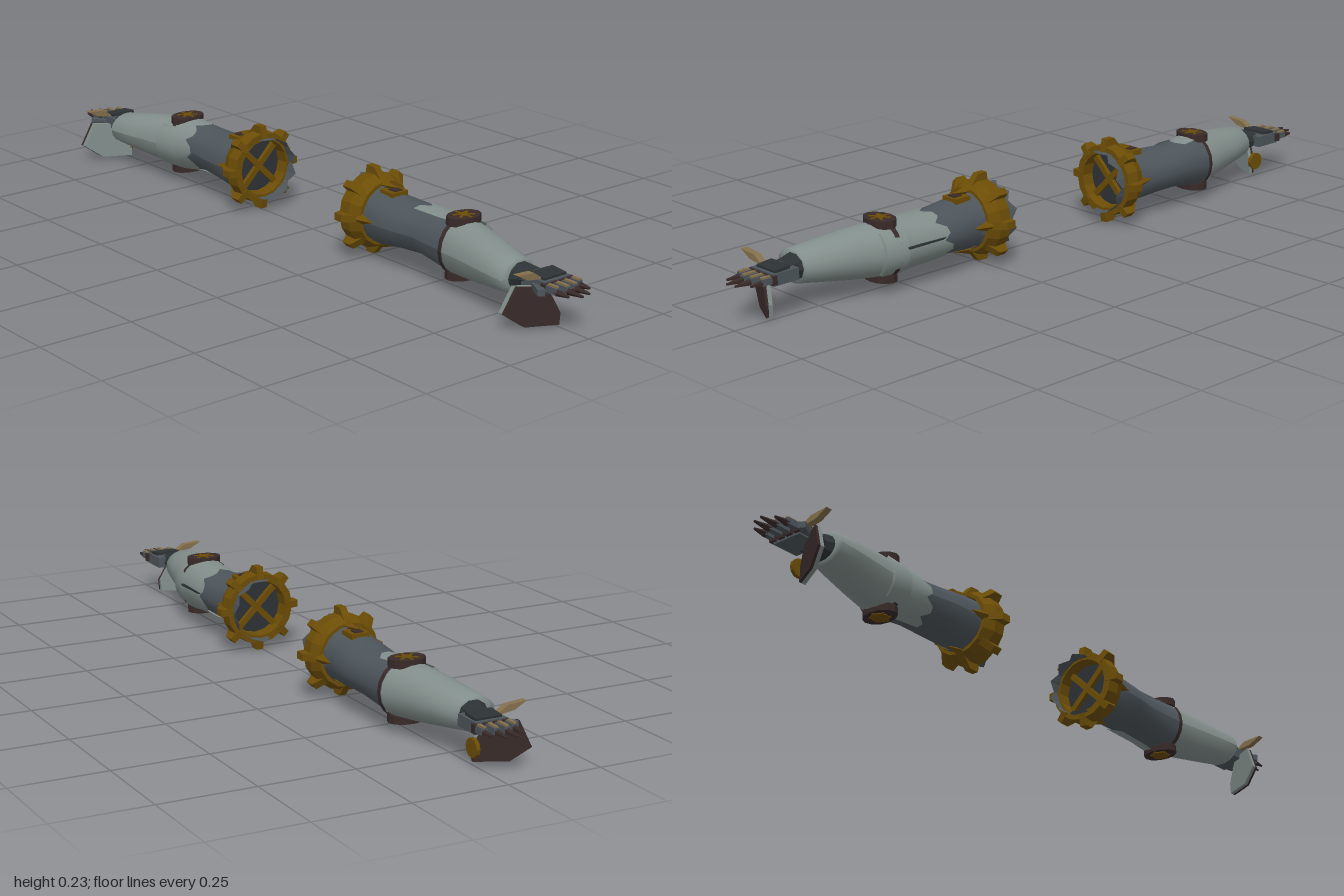
import * as THREE from 'three';

const mat = (name, color) => {
  const m = new THREE.MeshStandardMaterial({ color, side: THREE.DoubleSide });
  m.name = name;
  return m;
};

export function createModel() {
  const M = {
    light: mat('pale grey armour', 0x828e8b),
    slate: mat('slate armour', 0x4d555b),
    gold: mat('dark gold', 0x6c4d06),
    brown: mat('dark brown', 0x382a29),
    dark: mat('dark joint', 0x2d3235),
    tan: mat('tan blade', 0x84704c),
  };
  const model = new THREE.Group();
  model.name = 'armouredArms';
  const arms = [1, -1].map((side) => {
    const g = new THREE.Group();
    g.name = side > 0 ? 'leftArm' : 'rightArm';
    model.add(g);
    return g;
  });

  // Adds a part to the left arm (0) and its mirror image to the right arm (1)
  const add = (name, geo, material, faceted = true, targets = [0, 1]) => {
    let left = geo;
    if (faceted) {
      left = geo.index ? geo.toNonIndexed() : geo;
      left.computeVertexNormals();
    }
    const right = left.clone().scale(-1, 1, 1);
    if (!right.index) right.setIndex([...Array(right.attributes.position.count).keys()]);
    const ix = right.index;
    for (let i = 0; i < ix.count; i += 3) {
      const a = ix.getX(i);
      ix.setX(i, ix.getX(i + 1));
      ix.setX(i + 1, a);
    }
    right.computeVertexNormals();
    targets.forEach((t) => {
      const mesh = new THREE.Mesh([left, right][t], material);
      mesh.name = name;
      arms[t].add(mesh);
    });
  };

  // Tube or arc along x through sections [x, y, z, ry, rz]; edge() shifts the first ring
  const loft = (sections, sides = 18, start = 0, arc = Math.PI * 2, edge = () => 0) => {
    const n = sections.length;
    const geo = new THREE.CylinderGeometry(1, 1, 1, sides, n - 1, true);
    const p = geo.attributes.position;
    for (let k = 0; k < p.count; k++) {
      const row = Math.floor(k / (sides + 1)), i = k % (sides + 1);
      const a = start + (i / sides) * arc;
      const [x, y, z, ry, rz] = sections[n - 1 - row];
      const shift = row === n - 1 ? edge(a, i) : 0;
      p.setXYZ(k, x + shift, y - Math.sin(a) * ry, z + Math.cos(a) * rz);
    }
    geo.computeVertexNormals();
    return geo;
  };
  const box = (w, h, d, x, y, z, rz = 0, ry = 0) =>
    new THREE.BoxGeometry(w, h, d).rotateZ(rz).rotateY(ry).translate(x, y, z);
  const disc = (r, h, x, y, z, sides = 12, stretch = 1) =>
    new THREE.CylinderGeometry(r, r, h, sides).scale(1, 1, stretch).translate(x, y, z);

  // Shoulder gear: flared ring, radial teeth and clasping claws
  const cy = 0.118, cz = -0.008;
  const ring = [[0.076, 0.215], [0.096, 0.215], [0.098, 0.25], [0.084, 0.28], [0.074, 0.28], [0.076, 0.215]]
    .map(([r, h]) => new THREE.Vector2(r, h));
  add('gearRing', new THREE.LatheGeometry(ring, 16).rotateZ(-Math.PI / 2).translate(0, cy, cz), M.gold);
  for (let i = 0; i < 8; i++) {
    const tooth = new THREE.Shape();
    [[0.212, 0.08], [0.218, 0.115], [0.246, 0.115], [0.272, 0.085]]
      .forEach(([x, y], k) => (k ? tooth.lineTo(x, y) : tooth.moveTo(x, y)));
    tooth.closePath();
    add('gearTooth', new THREE.ExtrudeGeometry(tooth, { depth: 0.019, bevelEnabled: false })
      .translate(0, 0, -0.0095).rotateX((i * Math.PI) / 4).translate(0, cy, cz), M.gold);
    if (i % 2 === 0) {
      add('gearClaw', new THREE.ConeGeometry(0.016, 0.05, 4).rotateZ(-Math.PI / 2)
        .translate(0.298, 0.077, 0).rotateX((i * Math.PI) / 4).translate(0, cy, cz), M.gold);
    }
  }
  // Dark socket with gold cross bars inside the gear, and gold boss on top of the shoulder
  add('shoulderSocket', new THREE.CylinderGeometry(0.072, 0.072, 0.01, 16).rotateZ(Math.PI / 2)
    .translate(0.252, cy, cz), M.dark);
  for (const turn of [Math.PI / 4, -Math.PI / 4]) {
    add('socketBar', new THREE.BoxGeometry(0.012, 0.146, 0.016).rotateX(turn).translate(0.242, cy, cz), M.gold);
  }
  add('shoulderBoss', box(0.05, 0.016, 0.05, 0.312, 0.18, -0.008), M.gold);
  add('shoulderBossInset', box(0.024, 0.004, 0.024, 0.318, 0.189, -0.008), M.brown);

  // Jagged shell behind the shoulder
  const shell = new THREE.CylinderGeometry(0.074, 0.084, 0.07, 12, 1, true, Math.PI * 0.42, Math.PI * 1.16)
    .rotateZ(-Math.PI / 2).translate(0.255, cy, cz);
  const sp = shell.attributes.position;
  for (let i = 13; i < 26; i++) sp.setX(i, i % 2 ? 0.2 : 0.18);
  add('shoulderShell', shell, M.slate);

  // Upper arm and forearm
  add('upperArm', loft([
    [0.25, 0.117, -0.005, 0.07, 0.07], [0.31, 0.113, -0.003, 0.069, 0.073],
    [0.38, 0.114, -0.01, 0.061, 0.077], [0.45, 0.114, -0.015, 0.059, 0.071],
    [0.565, 0.109, -0.01, 0.072, 0.072],
  ]), M.slate, false);
  add('elbowRing', loft([
    [0.556, 0.109, -0.01, 0.076, 0.076], [0.569, 0.109, -0.009, 0.075, 0.076],
  ]), M.brown, false);
  add('forearm', loft([
    [0.566, 0.109, -0.009, 0.071, 0.072], [0.65, 0.109, 0.006, 0.064, 0.067],
    [0.73, 0.108, 0.021, 0.053, 0.062], [0.8, 0.107, 0.034, 0.043, 0.055],
    [0.803, 0.107, 0.034, 0.03, 0.035],
  ]), M.light, false);

  // Pale half cuff with a ragged edge: behind the left elbow, in front of the right one
  [Math.PI * 1.08, -Math.PI * 0.08].forEach((middle, arm) => {
    const arc = Math.PI * 1.12, start = arm ? 0.455 : 0.4;
    const ragged = (a, i) => -0.02 * Math.sin(a) + (i % 3 ? 0 : 0.024);
    add('elbowCuff', loft([
      [start, 0.114, -0.013, 0.064, arm ? 0.075 : 0.078], [0.51, 0.111, -0.012, 0.068, 0.075],
      [0.554, 0.109, -0.01, 0.075, 0.076],
    ], 14, middle - arc / 2, arc, ragged), M.light, false, [arm]);
    add('elbowFlange', loft([
      [0.536, 0.109, -0.01, 0.072, 0.078], [0.6, 0.109, -0.004, 0.072, 0.08],
      [0.602, 0.109, -0.004, 0.06, 0.066],
    ], 10, (arm ? 0 : Math.PI) - 0.9, 1.8), M.light, false, [arm]);
  });
  // Dark seam along the back of the left cuff
  add('cuffSeam', box(0.12, 0.005, 0.006, 0.48, 0.12, -0.088, 0, 0.02), M.dark, true, [0]);

  // Oval elbow bosses above and below, with gold caps and spokes
  for (const s of [1, -1]) {
    const y = 0.109 + s * 0.069;
    add('elbowBoss', disc(0.035, 0.02, 0.565, y, -0.01, 12, 1.4), M.brown);
    add('elbowBossCap', disc(s > 0 ? 0.013 : 0.024, 0.025, 0.565, y, -0.01, 8), M.gold);
    for (let i = 0; i < 3; i++) {
      add('elbowBossSpoke', box(0.056, 0.023, 0.007, 0.565, y, -0.01, 0, (i * Math.PI) / 3), M.gold);
    }
  }

  // Wrist and palm
  add('wrist', loft([
    [0.795, 0.108, 0.03, 0.036, 0.042], [0.82, 0.11, 0.024, 0.03, 0.034], [0.845, 0.112, 0.018, 0.022, 0.036],
  ], 10), M.dark);
  add('palm', box(0.075, 0.03, 0.085, 0.868, 0.111, 0.012), M.slate);
  add('knucklePlate', box(0.045, 0.008, 0.07, 0.875, 0.13, 0.01, -0.1), M.dark);

  // Four jointed fingers, longest in the middle
  [0.97, 0.995, 1.0, 0.98].forEach((tip, i) => {
    const z = -0.028 + i * 0.026, len = (tip - 0.9) / 2;
    add('fingerKnuckle', box(0.014, 0.022, 0.019, 0.906, 0.112, z), M.brown);
    add('fingerBase', box(len, 0.016, 0.015, 0.905 + len / 2, 0.114, z), M.slate);
    add('fingerTip', new THREE.CylinderGeometry(0.003, 0.009, len, 5).rotateZ(-Math.PI / 2)
      .translate(tip - len / 2, 0.111, z), M.brown);
    add('fingerPlate', box(len * 0.7, 0.004, 0.009, 0.91 + len / 2, 0.124, z), M.tan);
  });

  // Thumb and its raised blade
  add('thumb', box(0.05, 0.016, 0.018, 0.895, 0.108, 0.062, 0, -0.5), M.slate);
  const blade = new THREE.Shape();
  blade.moveTo(-0.12, 0.151);
  blade.lineTo(-0.068, 0.147);
  blade.lineTo(-0.035, 0.125);
  blade.lineTo(-0.088, 0.133);
  blade.closePath();
  add('thumbBlade', new THREE.ExtrudeGeometry(blade, { depth: 0.018, bevelEnabled: false })
    .rotateY(Math.PI / 2).translate(0.868, 0, 0), M.tan);

  // Hanging hand guards, brown outside and pale inside, both slanted the same way
  const guard = new THREE.Shape();
  [[0.095, 0.11], [0.122, 0.045], [0.076, 0.01], [0.002, 0.01], [0.0, 0.04], [0.03, 0.105]]
    .forEach(([z, y], k) => (k ? guard.lineTo(-z, y) : guard.moveTo(-z, y)));
  guard.closePath();
  [-0.5, 0.5].forEach((k, arm) => {
    const slant = new THREE.Matrix4().set(1, 0, k, -0.06 * k, 0, 1, 0, 0, 0, 0, 1, 0, 0, 0, 0, 1);
    const layer = (name, x, depth, material) =>
      add(name, new THREE.ExtrudeGeometry(guard, { depth, bevelEnabled: false })
        .rotateY(Math.PI / 2).translate(x, 0, 0).applyMatrix4(slant), material, true, [arm]);
    layer('handGuardInner', 0.858, 0.012, M.light);
    layer('handGuardOuter', 0.87, 0.008, M.brown);
  });
  // Gold disc on the back edge of the right guard
  add('handGuardDisc', disc(0.024, 0.01, 0, 0, 0).rotateX(Math.PI / 2).translate(0.85, 0.045, 0.0), M.gold, true, [1]);
  return model;
}
